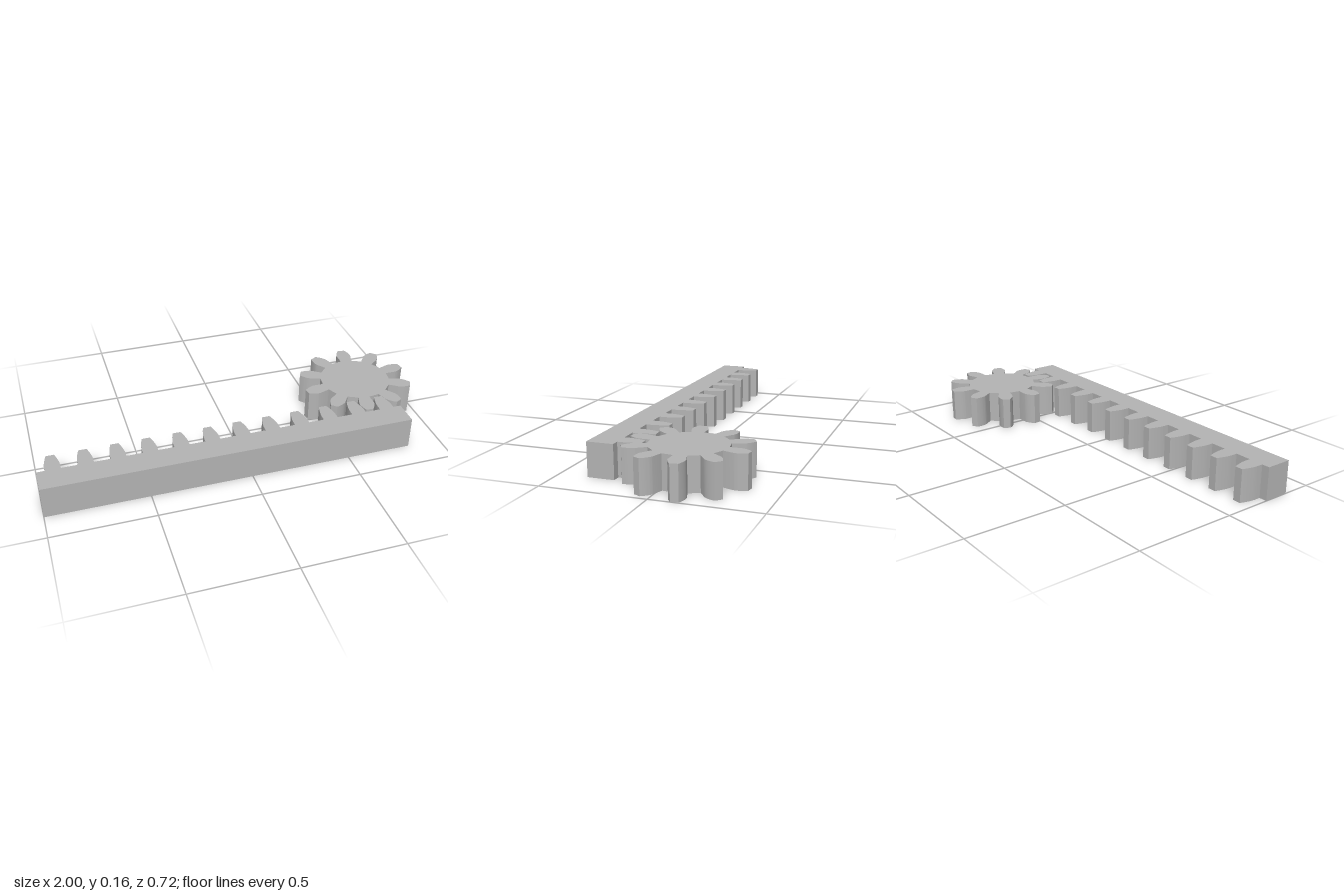
import * as THREE from 'three';
import { toCreasedNormals } from 'three/addons/utils/BufferGeometryUtils.js';

const HEIGHT = 0.162;
const TEETH = 10;               // pinion teeth
const PITCH = 0.1523;           // tooth spacing along the rack
const PITCH_R = PITCH * TEETH / (2 * Math.PI);
const TIP_R = 0.291, ROOT_R = 0.182;
const PRESSURE = THREE.MathUtils.degToRad(14.5);
const FLANK_STEPS = 8;

// Plan outline given as (x, z) points, raised from y = 0 to HEIGHT
function raise(points, material, name) {
  const geometry = new THREE.ExtrudeGeometry(new THREE.Shape(points), { depth: HEIGHT, bevelEnabled: false });
  geometry.rotateX(Math.PI / 2).translate(0, HEIGHT, 0);
  const mesh = new THREE.Mesh(toCreasedNormals(geometry, Math.PI / 7), material);
  mesh.name = name;
  return mesh;
}

// Half a tooth: radial below the base circle, involute above it, as [radius, half angle]
function pinionFlank() {
  const baseR = PITCH_R * Math.cos(PRESSURE);
  const baseAngle = Math.PI / (2 * TEETH) + Math.tan(PRESSURE) - PRESSURE;
  const flank = [[ROOT_R, baseAngle]];
  for (let i = 0; i <= FLANK_STEPS; i++) {
    const r = baseR + (TIP_R - baseR) * (i / FLANK_STEPS) ** 1.5;
    const a = Math.acos(Math.min(1, baseR / r));
    flank.push([r, baseAngle - (Math.tan(a) - a)]);
  }
  return flank;
}

function pinionOutline() {
  const flank = pinionFlank();
  const start = THREE.MathUtils.degToRad(-9.2);
  const points = [];
  for (let i = 0; i < TEETH; i++) {
    const centre = start + i * 2 * Math.PI / TEETH;
    const add = ([r, a], side) =>
      points.push(new THREE.Vector2(r * Math.cos(centre + side * a), r * Math.sin(centre + side * a)));
    flank.forEach(p => add(p, -1));
    [...flank].reverse().forEach(p => add(p, 1));
  }
  return points;
}

function rackOutline() {
  const left = -1, count = 12, right = left + count * PITCH;
  const tipZ = 0.123, rootZ = 0.2315, frontZ = 0.36;
  // Rounded tooth side, as half width and depth below the tip
  const curve = new THREE.SplineCurve([[0.037, 0.078], [0.035, 0.06], [0.031, 0.04], [0.026, 0.02], [0.0195, 0]]
    .map(p => new THREE.Vector2(...p)));
  const side = [new THREE.Vector2(0.037, rootZ - tipZ), ...curve.getPoints(10)];
  const points = [new THREE.Vector2(left, frontZ), new THREE.Vector2(left, rootZ)];
  for (let i = 0; i < count; i++) {
    const x = left + (i + 0.5) * PITCH;
    side.forEach(p => points.push(new THREE.Vector2(x - p.x, tipZ + p.y)));
    [...side].reverse().forEach(p => points.push(new THREE.Vector2(x + p.x, tipZ + p.y)));
  }
  points.push(new THREE.Vector2(right, rootZ), new THREE.Vector2(right, frontZ));
  return points;
}

export function createModel() {
  const steel = new THREE.MeshStandardMaterial({ color: 0xb4b4b4 });
  steel.name = 'grey steel';

  const group = new THREE.Group();
  group.name = 'rackAndPinion';

  // Straight toothed bar along the front
  group.add(raise(rackOutline(), steel, 'rack'));

  // Gear meshing with the rack near its left end
  const pinion = raise(pinionOutline(), steel, 'pinion');
  pinion.position.set(0.71, 0, -0.071);
  group.add(pinion);

  return group;
}
